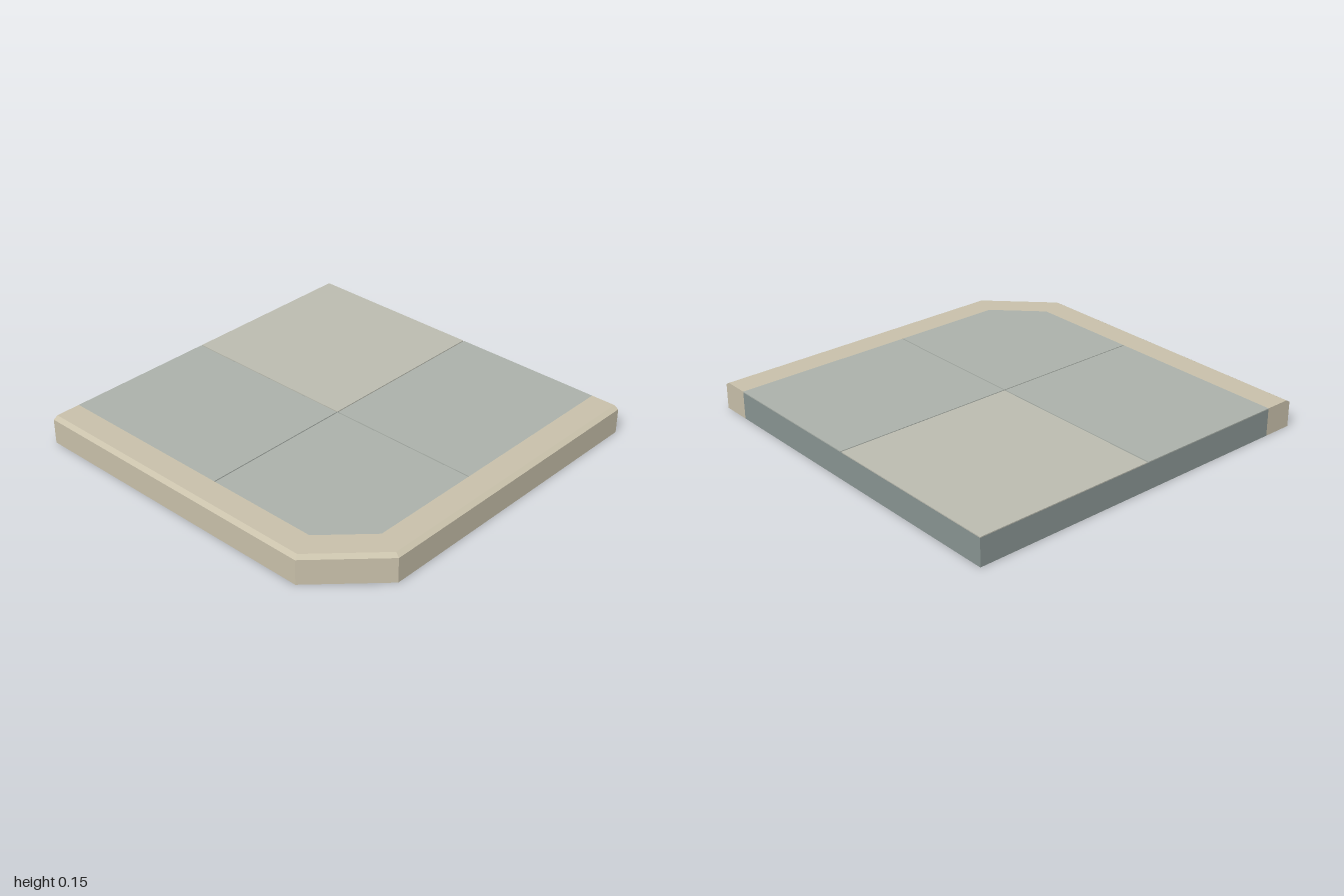
import * as THREE from 'three';

const HEIGHT = 0.15, KERB_WIDTH = 0.16, GAP = 0.003, TILE = 0.005;

// Ground outline of the rounded-off corner, inset by d from the outer edge, as [x, z]
function cornerPath(d) {
  const c = 0.68 - d * Math.tan(Math.PI / 8);
  return [[-1, 1 - d], [c, 1 - d], [1 - d, c], [1 - d, -1]];
}

function material(color) {
  return new THREE.MeshStandardMaterial({ color, flatShading: true });
}

// Flat plate with the given [x, z] outline
function plate(name, outline, y, height, color) {
  const shape = new THREE.Shape(outline.map(([x, z]) => new THREE.Vector2(x, -z)));
  const geometry = new THREE.ExtrudeGeometry(shape, { depth: height, bevelEnabled: false });
  geometry.rotateX(-Math.PI / 2).translate(0, y, 0);
  const mesh = new THREE.Mesh(geometry, material(color));
  mesh.name = name;
  return mesh;
}

// Kerb: a bevelled section swept along the two outer sides and the cut corner
function kerb() {
  const section = [[0, 0], [0, 0.135], [0.025, HEIGHT], [KERB_WIDTH, HEIGHT], [KERB_WIDTH, 0]];
  const n = section.length, stations = 4;
  const rings = section.map(([d, y]) => cornerPath(d).map(([x, z]) => [x, y, z]));
  const positions = [], index = [];
  for (let s = 0; s < stations; s++) {
    for (let i = 0; i < n; i++) positions.push(...rings[i][s]);
  }
  for (let s = 0; s < stations - 1; s++) {
    for (let i = 0; i < n; i++) {
      const j = (i + 1) % n;
      const a = s * n + i, b = a + n, c = (s + 1) * n + j, d = s * n + j;
      index.push(a, b, c, a, c, d);
    }
  }
  // End caps
  const last = (stations - 1) * n;
  for (let i = 1; i < n - 1; i++) {
    index.push(0, i, i + 1, last, last + i + 1, last + i);
  }
  const indexed = new THREE.BufferGeometry();
  indexed.setAttribute('position', new THREE.Float32BufferAttribute(positions, 3));
  indexed.setIndex(index);
  const geometry = indexed.toNonIndexed();
  geometry.computeVertexNormals();
  const mesh = new THREE.Mesh(geometry, material(0xc9c1ab));
  mesh.name = 'kerb';
  return mesh;
}

export function createModel() {
  const group = new THREE.Group();
  group.name = 'pavementCorner';
  group.add(kerb());

  // Foundation slab inside the kerb
  const inner = cornerPath(KERB_WIDTH);
  const e = 1 - KERB_WIDTH, c = inner[1][0];
  group.add(plate('slab', [[-1, -1], ...inner], 0, HEIGHT - TILE, 0x8a9593));

  // Four paving tiles separated by thin joints
  const rect = (x0, x1, z0, z1) => [[x0, z0], [x0, z1], [x1, z1], [x1, z0]];
  const tiles = [
    ['backRightTile', rect(-1, -GAP, -1, -GAP), 0xbdbdb1],
    ['backLeftTile', rect(GAP, e, -1, -GAP), 0xacb2ab],
    ['frontRightTile', rect(-1, -GAP, GAP, e), 0xacb2ab],
    ['frontLeftTile', [[GAP, GAP], [GAP, e], [c, e], [e, c], [e, GAP]], 0xacb2ab],
  ];
  for (const [name, outline, color] of tiles) {
    group.add(plate(name, outline, HEIGHT - TILE, TILE, color));
  }
  return group;
}
